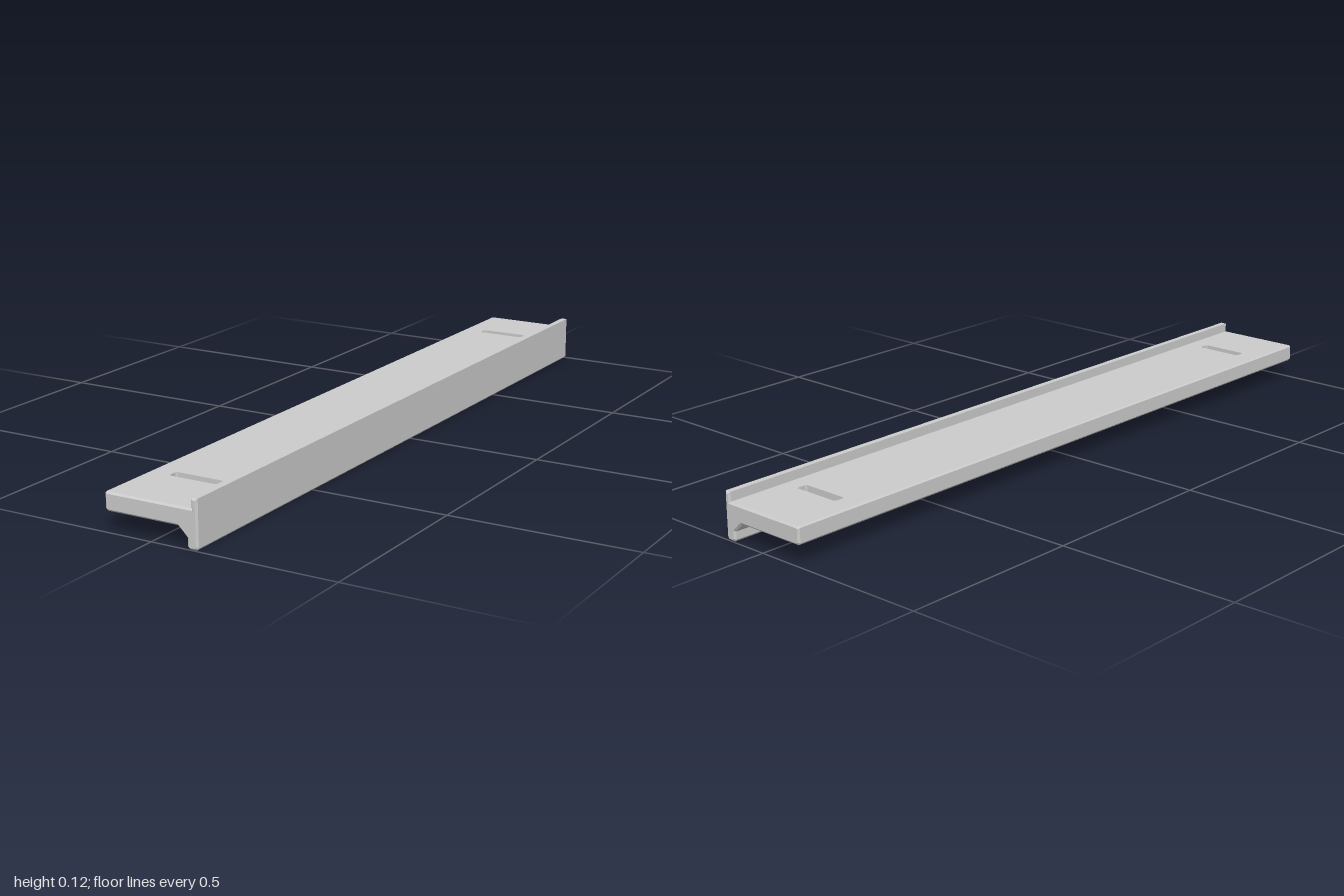
import * as THREE from 'three';

const TOP = 0.1, UNDER = 0.052, CEILING = 0.07, BEVEL = 0.005, HALF = 1;
const SLOT_Z = 0.815;

// Cross-section of the rail, counter-clockwise in x, y
const PROFILE = [
  [0.106, 0], [0.124, 0], [0.13, 0.006], [0.13, 0.125], [0.113, 0.125],
  [0.113, TOP], [-0.126, TOP], [-0.13, 0.096], [-0.13, 0.058], [-0.124, UNDER],
  [0.075, UNDER], [0.1, 0.027], [0.1, 0.006],
];
const TOP_EDGE = 5, UNDER_EDGE = 9; // these two edges become pierced panels

// Mitred inset of a closed outline
function inset(points, d) {
  const n = points.length;
  const normal = (a, b) => {
    const dx = b[0] - a[0], dy = b[1] - a[1], l = Math.hypot(dx, dy);
    return [dy / l, -dx / l];
  };
  return points.map((p, i) => {
    const u = normal(points[(i + n - 1) % n], p), v = normal(p, points[(i + 1) % n]);
    const k = d / (1 + u[0] * v[0] + u[1] * v[1]);
    return [p[0] - (u[0] + v[0]) * k, p[1] - (u[1] + v[1]) * k];
  });
}

function quadGeometry(quads) {
  const position = [];
  for (const [a, b, c, d] of quads) position.push(...a, ...b, ...c, ...a, ...c, ...d);
  const g = new THREE.BufferGeometry();
  g.setAttribute('position', new THREE.Float32BufferAttribute(position, 3));
  g.computeVertexNormals();
  return g;
}

// Rectangle with small cut corners in x, z
const rect = (x0, x1, z0, z1, c) => [
  [x0 + c, z0], [x1 - c, z0], [x1, z0 + c], [x1, z1 - c],
  [x1 - c, z1], [x0 + c, z1], [x0, z1 - c], [x0, z0 + c],
];
const slotAt = (z) => rect(-0.07, 0.065, z - 0.015, z + 0.015, 0.004);
const pocketAt = (z) => rect(-0.107, 0.073, z - 0.075, z + 0.075, 0.002);
const toVectors = (pts) => pts.map(([x, y]) => new THREE.Vector2(x, y));

// Horizontal panel with holes, facing up or down
function panel(outline, holes, y, up) {
  const s = up ? -1 : 1;
  const map = (pts) => toVectors(pts.map(([x, z]) => [x, s * z]));
  const shape = new THREE.Shape(map(outline));
  holes.forEach((h) => shape.holes.push(new THREE.Path(map(h))));
  return new THREE.ShapeGeometry(shape).rotateX(s * Math.PI / 2).translate(0, y, 0);
}

// Walls of an opening, facing inward
const walls = (pts, y0, y1) => quadGeometry(pts.map((a, i) => {
  const b = pts[(i + 1) % pts.length];
  return [[a[0], y0, a[1]], [b[0], y0, b[1]], [b[0], y1, b[1]], [a[0], y1, a[1]]];
}));

export function createModel() {
  const group = new THREE.Group();
  const material = new THREE.MeshStandardMaterial({ color: 0xcccccc, flatShading: true });
  const add = (name, geometry) => {
    const mesh = new THREE.Mesh(geometry, material);
    mesh.name = name;
    group.add(mesh);
  };

  // Long sides and bevelled ends
  const small = inset(PROFILE, BEVEL), z = HALF - BEVEL;
  const rings = [[small, -HALF], [PROFILE, -z], [PROFILE, z], [small, HALF]];
  const quads = [];
  for (let r = 0; r < 3; r++) {
    const [p, z0] = rings[r], [q, z1] = rings[r + 1];
    for (let i = 0; i < p.length; i++) {
      if (r === 1 && (i === TOP_EDGE || i === UNDER_EDGE)) continue;
      const j = (i + 1) % p.length;
      quads.push([[...p[i], z0], [...p[j], z0], [...q[j], z1], [...q[i], z1]]);
    }
  }
  add('railSides', quadGeometry(quads));

  // End faces
  const cap = new THREE.ShapeGeometry(new THREE.Shape(toVectors(small)));
  add('frontEnd', cap.clone().translate(0, 0, HALF));
  const back = cap.clone();
  back.setIndex([...back.index.array].reverse());
  back.computeVertexNormals();
  add('backEnd', back.translate(0, 0, -HALF));

  // Top and underside of the shelf
  const ends = [-SLOT_Z, SLOT_Z];
  add('shelfTop', panel(rect(PROFILE[6][0], PROFILE[5][0], -z, z, 0), ends.map(slotAt), TOP, true));
  add('shelfUnderside', panel(rect(PROFILE[9][0], PROFILE[10][0], -z, z, 0), ends.map(pocketAt), UNDER, false));

  // Mounting slots, each in a shallow pocket underneath
  for (const e of ends) {
    add('pocketWalls', walls(pocketAt(e), UNDER, CEILING));
    add('pocketCeiling', panel(pocketAt(e), [slotAt(e)], CEILING, false));
    add('slotWalls', walls(slotAt(e), CEILING, TOP));
  }
  return group;
}
